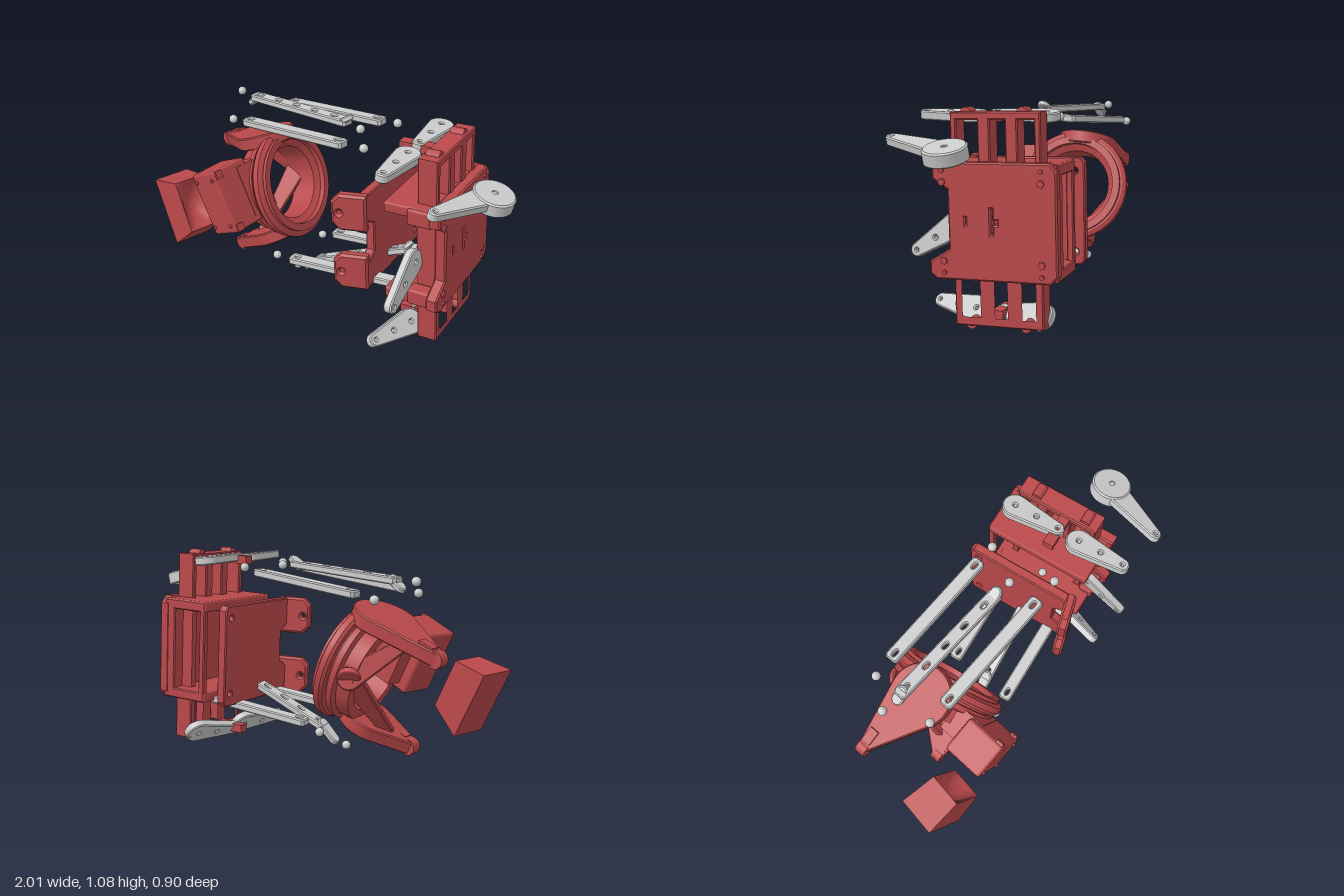
import * as THREE from 'three';
import { toCreasedNormals } from 'three/addons/utils/BufferGeometryUtils.js';
import { RoundedBoxGeometry } from 'three/addons/geometries/RoundedBoxGeometry.js';

const RED = new THREE.MeshStandardMaterial({ color: 0xb9484a });
const GREY = new THREE.MeshStandardMaterial({ color: 0xcccccc });
const V = (p) => new THREE.Vector3(...p);

function mesh(parent, name, geo, mat, pos = [0, 0, 0], rot = [0, 0, 0]) {
  const m = new THREE.Mesh(geo, mat);
  m.name = name;
  m.position.set(...pos);
  m.rotation.set(...rot);
  parent.add(m);
  return m;
}

const polygon = (points) => new THREE.Shape(points.map(([x, y]) => new THREE.Vector2(x, y)));
const rect = (x0, x1, y0, y1) => polygon([[x0, y0], [x1, y0], [x1, y1], [x0, y1]]);
const disc = (x, y, rx, ry = rx) => new THREE.Shape().absellipse(x, y, rx, ry, 0, Math.PI * 2, false, 0);

// Extruded plate, centred on its thickness, with a small bevel
function slab(shape, depth, bevel = 0.006) {
  const g = new THREE.ExtrudeGeometry(shape, {
    depth: depth - 2 * bevel, bevelEnabled: true, bevelSize: bevel, bevelOffset: -bevel,
    bevelThickness: bevel, bevelSegments: 1, curveSegments: 16,
  });
  g.translate(0, 0, -(depth - 2 * bevel) / 2);
  return toCreasedNormals(g, 0.5);
}

// Plate laid from P towards Q, its flat side facing N
function layPlate(parent, name, shape, thick, P, Q, N, mat) {
  const x = V(Q).sub(V(P)).normalize();
  const y = new THREE.Vector3().crossVectors(V(N), x).normalize();
  const z = new THREE.Vector3().crossVectors(x, y);
  const m = mesh(parent, name, slab(shape, thick), mat, P);
  m.quaternion.setFromRotationMatrix(new THREE.Matrix4().makeBasis(x, y, z));
}

// Tapered arm with round ends from P (radius R) to Q (radius r)
function arm(parent, name, P, Q, R, r, thick, N, mat = GREY, holes = []) {
  const L = V(P).distanceTo(V(Q)), a = Math.acos((R - r) / L);
  const s = new THREE.Shape();
  s.absarc(0, 0, R, a, Math.PI * 2 - a, false);
  s.absarc(L, 0, r, -a, a, false);
  s.holes = holes.map(([t, radius]) => disc(t * L, 0, radius));
  layPlate(parent, name, s, thick, P, Q, N, mat);
}

// Straight rod with clipped corners and oblong holes
function rod(parent, name, P, Q, thick, N, holes) {
  const L = V(P).distanceTo(V(Q)), w = 0.035, c = 0.012;
  const s = polygon([[0, c - w], [c, -w], [L - c, -w], [L, c - w], [L, w - c], [L - c, w], [c, w], [0, w - c]]);
  s.holes = holes.map((t) => disc(t * L, 0, 0.019, 0.009));
  layPlate(parent, name, s, thick, P, Q, N, GREY);
}

function buildBase(root) {
  const base = new THREE.Group();
  base.name = 'base';
  base.position.set(0.685, 0.555, -0.155);
  base.rotation.set(0.03, 0.172, 0.03, 'YZX');
  root.add(base);
  const side = [0, Math.PI / 2, 0];

  // Outer panel with side notch and keyed slots
  const panel = polygon([[-0.31, 0.278], [0.26, 0.278], [0.295, 0.24], [0.295, -0.24], [0.26, -0.275], [-0.3, -0.275],
    [-0.335, -0.25], [-0.335, -0.19], [-0.235, -0.13], [-0.235, 0.15], [-0.31, 0.2]]);
  panel.holes = [rect(-0.15, -0.147, -0.012, 0.022),
    polygon([[-0.024, -0.055], [-0.016, -0.055], [-0.016, -0.01], [0.008, -0.01], [0.008, 0.012], [-0.016, 0.012], [-0.016, 0.065], [-0.024, 0.065]])];
  mesh(base, 'basePanel', slab(panel, 0.06, 0.008), RED, [-0.03, 0, 0], side);
  mesh(base, 'basePanelInner', new THREE.BoxGeometry(0.04, 0.5, 0.5), RED, [-0.075, 0, -0.03]);

  // Rear side frame around the open cavity
  const frame = rect(-0.3, -0.03, -0.268, 0.268);
  frame.holes = [rect(-0.265, -0.1, -0.215, 0.215)];
  mesh(base, 'cavityFrame', slab(frame, 0.035), RED, [0, 0, -0.275]);

  for (const s of [-1, 1]) {
    mesh(base, 'baseWall', new RoundedBoxGeometry(0.26, 0.055, 0.58, 1, 0.01), RED, [-0.175, s * 0.243, 0]);
    mesh(base, 'cavityRib', new THREE.BoxGeometry(0.07, 0.48, 0.035), RED, [-0.125, 0, s * 0.2]);
    mesh(base, 'cornerBlock', new RoundedBoxGeometry(0.13, 0.085, 0.08, 1, 0.012), RED, [-0.11, s * 0.225, 0.265]);
    // Servo rack with three openings
    const rack = rect(-0.232, 0.208, s * 0.25, s * 0.505);
    rack.holes = [[-0.202, -0.097], [-0.037, 0.038], [0.098, 0.178]].map(([a, b]) => rect(a, b, s * 0.27, s * 0.468));
    mesh(base, 'servoRack', slab(rack, 0.105), RED, [-0.1, 0, 0], side);
    mesh(base, 'rackBracket', new THREE.BoxGeometry(0.17, 0.045, 0.055), RED, [-0.235, s * 0.475, 0.06]);
    for (const z of [0.16, -0.115]) {
      mesh(base, 'rackKnob', new THREE.CylinderGeometry(0.027, 0.027, 0.07, 12), RED, [-0.1, s * 0.5, z], [0, 0, Math.PI / 2]);
    }
    for (const z of [0.26, -0.22]) {
      mesh(base, 'panelScrew', new THREE.CylinderGeometry(0.018, 0.018, 0.012, 6), RED, [0.003, s * 0.185, z], [0, 0, Math.PI / 2]);
      mesh(base, 'panelPin', new THREE.CylinderGeometry(0.011, 0.011, 0.012, 12), RED, [0.003, s * 0.24, z], [0, 0, Math.PI / 2]);
    }
  }

  // Inner mounting plate, notched between its two ears
  const mount = polygon([[-0.28, 0.265], [0.29, 0.265], [0.31, 0.24], [0.31, -0.24], [0.29, -0.265], [-0.28, -0.265],
    [-0.28, -0.13], [-0.2, -0.08], [-0.2, 0.08], [-0.28, 0.13]]);
  mount.holes = [disc(0.26, 0.2, 0.015), disc(0.26, -0.2, 0.015)];
  mesh(base, 'mountPlate', slab(mount, 0.05), RED, [-0.43, 0, 0], side);
  for (const s of [-1, 1]) {
    const ear = polygon([[0.09, -0.1], [0.09, 0.1], [-0.05, 0.1], [-0.09, 0.06], [-0.09, -0.06], [-0.05, -0.1]]);
    ear.holes = [disc(-0.05, 0, 0.012)];
    mesh(base, 'mountEar', slab(ear, 0.055, 0.012), RED, [-0.49, s * 0.17, 0.29], [0, 0.25, 0]);
  }
}

function buildHead(root) {
  const head = new THREE.Group();
  head.name = 'head';
  head.position.set(-0.36, 0.567, -0.035);
  head.rotation.set(0, 0.15, 0.34, 'YZX');
  root.add(head);

  // Stepped ring, open through the middle
  const profile = [[0.2, -0.17], [0.255, -0.17], [0.26, -0.1], [0.285, -0.09], [0.285, -0.06], [0.265, -0.06], [0.265, -0.045],
    [0.295, -0.045], [0.306, -0.03], [0.306, 0], [0.285, 0.012], [0.275, 0.012], [0.275, 0.03], [0.235, 0.03], [0.235, 0], [0.2, -0.02], [0.2, -0.17]];
  const ring = new THREE.LatheGeometry(profile.map(([r, y]) => new THREE.Vector2(r, y)), 56);
  mesh(head, 'headRing', toCreasedNormals(ring, 0.5), RED, [0, 0, 0], [0, 0, -Math.PI / 2]);

  // Box housing on the front side
  const box = new THREE.Group();
  box.name = 'housing';
  box.position.set(-0.19, 0.065, 0.325);
  box.rotation.set(0, -0.18, 0.09, 'YZX');
  head.add(box);
  mesh(box, 'housingBody', new RoundedBoxGeometry(0.2, 0.35, 0.22, 1, 0.015), RED);
  mesh(box, 'housingNeck', new THREE.BoxGeometry(0.15, 0.28, 0.16), RED, [0.03, 0, -0.12]);
  for (const y of [-0.13, 0.13]) {
    for (const x of [-0.07, 0.07])
      mesh(box, 'housingStud', new THREE.CylinderGeometry(0.01, 0.01, 0.012, 10), RED, [x, y, 0.112], [Math.PI / 2, 0, 0]);
    mesh(box, 'housingClip', new THREE.BoxGeometry(0.03, 0.04, 0.04), RED, [0.095, y * 1.15, 0.08]);
  }

  // Rear arms ending in joint lugs
  const lugs = [[-0.92, 0.65, -0.1], [-0.64, 0.14, 0.1]];
  arm(root, 'rearArm', [-0.56, 0.785, -0.03], lugs[0], 0.16, 0.028, 0.07, [-0.35, 0.93, 0], RED);
  arm(root, 'rearArm', [-0.43, 0.26, 0.02], lugs[1], 0.15, 0.03, 0.07, [-0.35, 0.93, 0], RED);
  arm(root, 'rearStrut', [-0.53, 0.53, -0.25], [-0.74, 0.7, -0.1], 0.06, 0.03, 0.04, [-0.3, 0, -1], RED);
  arm(root, 'rearStrut', [-0.53, 0.53, -0.25], [-0.55, 0.22, 0.03], 0.06, 0.03, 0.04, [-0.3, 0, -1], RED);
  for (const [x, y, z] of lugs) {
    mesh(root, 'jointLug', new THREE.CylinderGeometry(0.042, 0.042, 0.055, 16), RED, [x, y, z], [Math.PI / 2, 0, 0]);
    mesh(root, 'jointLugNeck', new THREE.BoxGeometry(0.08, 0.06, 0.05), RED, [x + 0.06, y + 0.04, z], [0, 0, 0.4]);
  }
}

// Tapered hood with a hollowed inner face
function buildHood(root) {
  const g = new THREE.BoxGeometry(0.19, 1, 1, 1, 12, 12);
  const p = g.attributes.position;
  for (let i = 0; i < p.count; i++) {
    const x = p.getX(i), y = p.getY(i), z = p.getZ(i), inner = x > 0;
    const bowl = inner ? 0.08 * (1 - 4 * z * z) * (1 - 4 * y * y) : 0;
    p.setXYZ(i, x - bowl, y * (inner ? 0.28 : 0.38), z * (inner ? 0.18 : 0.21));
  }
  const hood = mesh(root, 'hood', toCreasedNormals(g, 0.3), RED, [-0.832, 0.408, 0.33]);
  hood.rotation.set(0, -0.14, 0.47, 'YZX');
}

export function createModel() {
  const root = new THREE.Group();
  root.name = 'explodedArmAssembly';
  buildBase(root);
  buildHead(root);
  buildHood(root);

  // Servo horns: hub, tip, hub radius, facing
  const horns = [
    [[0.42, 1.03, -0.28], [0.46, 1.03, -0.04], 0.065, [0.1, 1, 0]],
    [[0.48, 1.02, 0.08], [0.52, 1.02, 0.32], 0.065, [0.1, 1, 0]],
    [[0.57, 0.5, 0.13], [0.6, 0.36, 0.335], 0.065, [1, 0.1, 0]],
    [[0.51, 0.07, 0.05], [0.47, 0.07, 0.29], 0.07, [0.75, 0.6, 0]],
    [[0.51, 0.085, -0.3], [0.47, 0.065, -0.07], 0.07, [0.75, 0.6, 0]],
  ];
  for (const [P, Q, R, N] of horns) arm(root, 'servoHorn', P, Q, R, 0.035, 0.045, N, GREY, [[0, 0.01], [0.5, 0.01], [1, 0.008]]);

  // Loose horn with a deep hub
  const up = [0.25, 0.97, 0];
  arm(root, 'looseHorn', [0.885, 0.9, -0.03], [0.805, 0.925, 0.32], 0.07, 0.03, 0.045, up, GREY, [[1, 0.008]]);
  const hub = new THREE.LatheGeometry([[0.015, 0.035], [0.015, 0.01], [0.075, 0.01], [0.075, -0.035], [0.095, -0.035], [0.103, -0.028],
    [0.103, 0.028], [0.095, 0.035], [0.015, 0.035]].map(([x, y]) => new THREE.Vector2(x, y)), 40);
  mesh(root, 'looseHornHub', toCreasedNormals(hub, 0.5), GREY, [0.89, 0.893, -0.028], [0, 0, -0.25]);

  // Connecting rods: two outer and one middle, above and below
  const flat = [-0.08, 1, 0], outer = [0.06, 0.94], row = [0.08, 0.28, 0.47, 0.66, 0.86];
  const rods = [
    [[-0.555, 0.927, -0.23], [0.1, 0.988, -0.23]],
    [[-0.555, 0.927, 0.12], [0.13, 0.99, 0.12]],
    [[-0.195, 0.237, -0.18], [0.53, 0.303, -0.305]],
    [[-0.195, 0.237, 0.18], [0.53, 0.303, 0.055]],
  ];
  for (const [P, Q] of rods) rod(root, 'outerRod', P, Q, 0.038, flat, outer);
  rod(root, 'middleRod', [-0.67, 0.985, -0.06], [0.02, 1.022, -0.045], 0.036, flat, row);
  rod(root, 'middleRod', [-0.16, 0.165, 0.01], [0.4, 0.41, -0.085], 0.036, [-0.4, 0.9, 0], row);
  // Bent rod ends
  const ends = [[[-0.64, 0.985, -0.06], [-0.675, 0.955, -0.06]], [[-0.03, 1.015, -0.045], [0.01, 1.04, -0.045]],
    [[-0.14, 0.18, 0.01], [-0.21, 0.11, 0.02]], [[0.36, 0.385, -0.08], [0.39, 0.425, -0.085]]];
  for (const [P, Q] of ends) arm(root, 'rodEnd', P, Q, 0.033, 0.03, 0.03, [-0.6, 0.8, 0]);

  // Joint balls
  const balls = [[-0.77, 0.99, -0.065], [-0.655, 0.91, -0.23], [-0.655, 0.91, 0.12], [0.19, 1.005, -0.23], [0.25, 1.005, 0.12], [0.1, 1.01, -0.04],
    [-0.28, 0.235, 0.2], [-0.275, 0.2, -0.17], [-0.285, 0.09, 0.03], [0.46, 0.435, -0.1]];
  for (const b of balls) mesh(root, 'jointBall', new THREE.SphereGeometry(0.023, 18, 12), GREY, b);
  return root;
}
